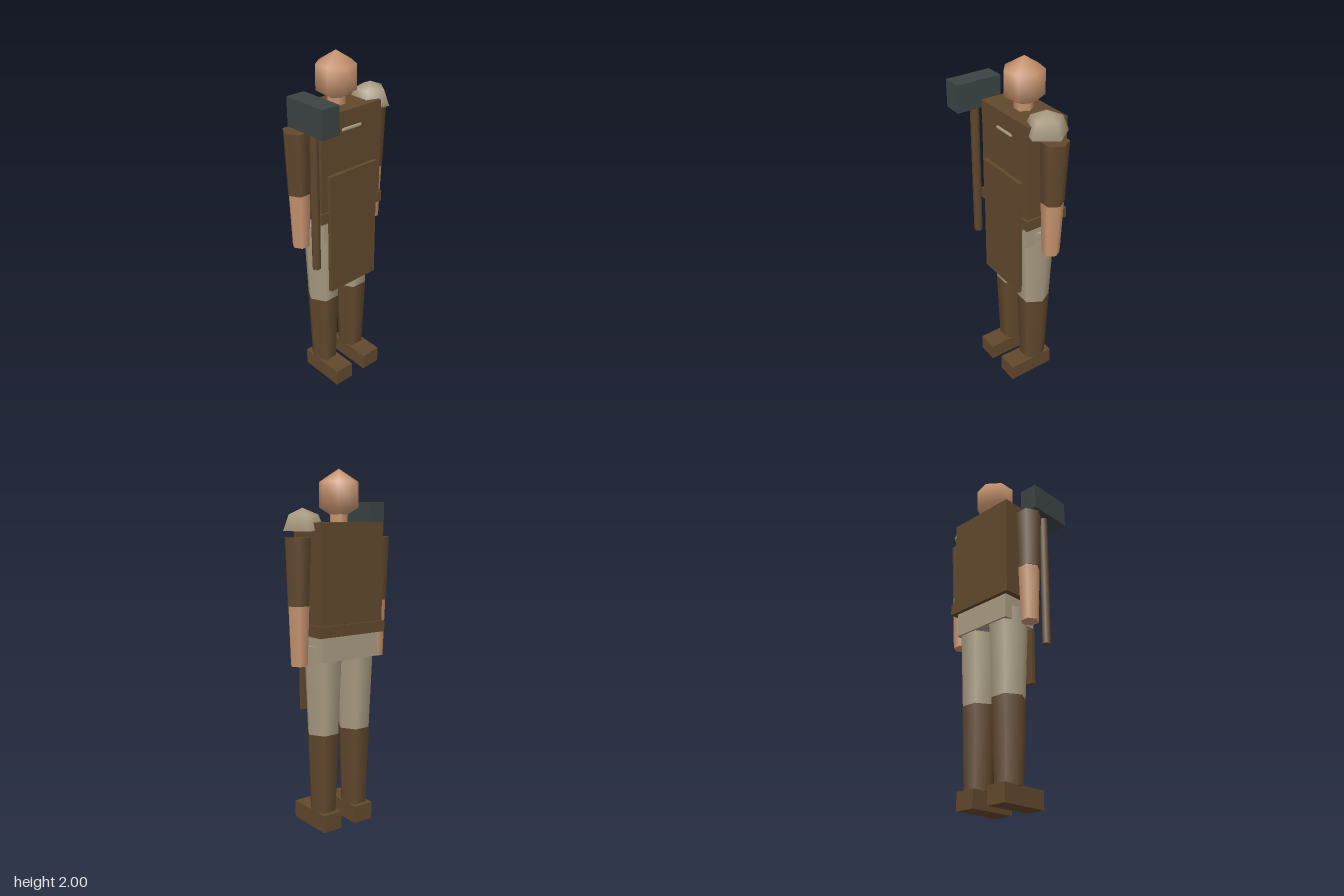
import * as THREE from 'three';

const material = (name, color) => {
  const m = new THREE.MeshStandardMaterial({ color });
  m.name = name;
  return m;
};

export function createModel() {
  const model = new THREE.Group();
  model.name = 'blacksmith';
  const leather = material('brown leather', 0x61482d);
  const skin = material('skin', 0xc7946f);
  const linen = material('tan linen', 0xa99b82);
  const iron = material('dark iron', 0x3b4343);
  const bodyZ = -0.067;

  const add = (name, geometry, mat, x, y, z) => {
    const mesh = new THREE.Mesh(geometry, mat);
    mesh.name = name;
    mesh.position.set(x, y, z);
    model.add(mesh);
    return mesh;
  };
  // Box given by its limits on each axis
  const box = (name, mat, x0, x1, y0, y1, z0, z1) =>
    add(name, new THREE.BoxGeometry(x1 - x0, y1 - y0, z1 - z0), mat, (x0 + x1) / 2, (y0 + y1) / 2, (z0 + z1) / 2);
  // Upright six-sided taper with corners towards the sides
  const taper = (name, mat, x, z, y0, y1, r0, r1) =>
    add(name, new THREE.CylinderGeometry(r1, r0, y1 - y0, 6).rotateY(Math.PI / 2), mat, x, (y0 + y1) / 2, z);

  // Trunk
  box('torso', leather, -0.21, 0.21, 1.13, 1.72, -0.19, 0.055);
  box('belt', leather, -0.222, 0.222, 1.118, 1.18, -0.2, 0.065);
  box('hips', linen, -0.19, 0.19, 0.98, 1.12, -0.177, 0.043);
  box('apron', leather, -0.17, 0.167, 0.67, 1.39, 0.055, 0.076);

  // Head and neck
  taper('neck', skin, 0, bodyZ, 1.7, 1.82, 0.052, 0.052);
  const head = add('head', new THREE.SphereGeometry(1, 7, 3), skin, 0, 1.865, bodyZ);
  head.scale.set(0.127, 0.135, 0.127);
  head.rotation.y = Math.PI;

  // Limbs, mirrored
  for (const [side, s] of [['left', 1], ['right', -1]]) {
    taper(side + 'Sleeve', leather, s * 0.268, bodyZ, 1.285, 1.64, 0.063, 0.076);
    taper(side + 'Forearm', skin, s * 0.265, bodyZ, 0.96, 1.285, 0.05, 0.062);
    taper(side + 'Thigh', linen, s * 0.11, -0.07, 0.56, 1.06, 0.093, 0.114);
    taper(side + 'Boot', leather, s * 0.11, -0.07, 0.095, 0.56, 0.077, 0.095);
    box(side + 'Foot', leather, s * 0.111 - 0.061, s * 0.111 + 0.061, 0, 0.1, -0.165, 0.122);
  }

  // Shoulder pad: closed five-sided dome
  const pad = add('shoulderPad', new THREE.SphereGeometry(0.12, 5, 2, 0, Math.PI * 2, 0, Math.PI / 2), linen, 0.224, 1.675, -0.045);
  pad.rotation.y = Math.PI;
  add('shoulderPadBase', new THREE.CircleGeometry(0.12, 5).rotateX(Math.PI / 2), linen, 0.224, 1.675, -0.045);

  // Chest pin
  const pin = add('chestPin', new THREE.CapsuleGeometry(0.01, 0.12, 2, 8).rotateZ(Math.PI / 2), linen, 0, 1.62, 0.055);
  pin.scale.z = 0.7;

  // Hammer
  taper('hammerHandle', leather, -0.266, 0.067, 0.87, 1.68, 0.025, 0.025);
  box('hammerHead', iron, -0.323, -0.212, 1.675, 1.83, -0.067, 0.2);

  return model;
}
